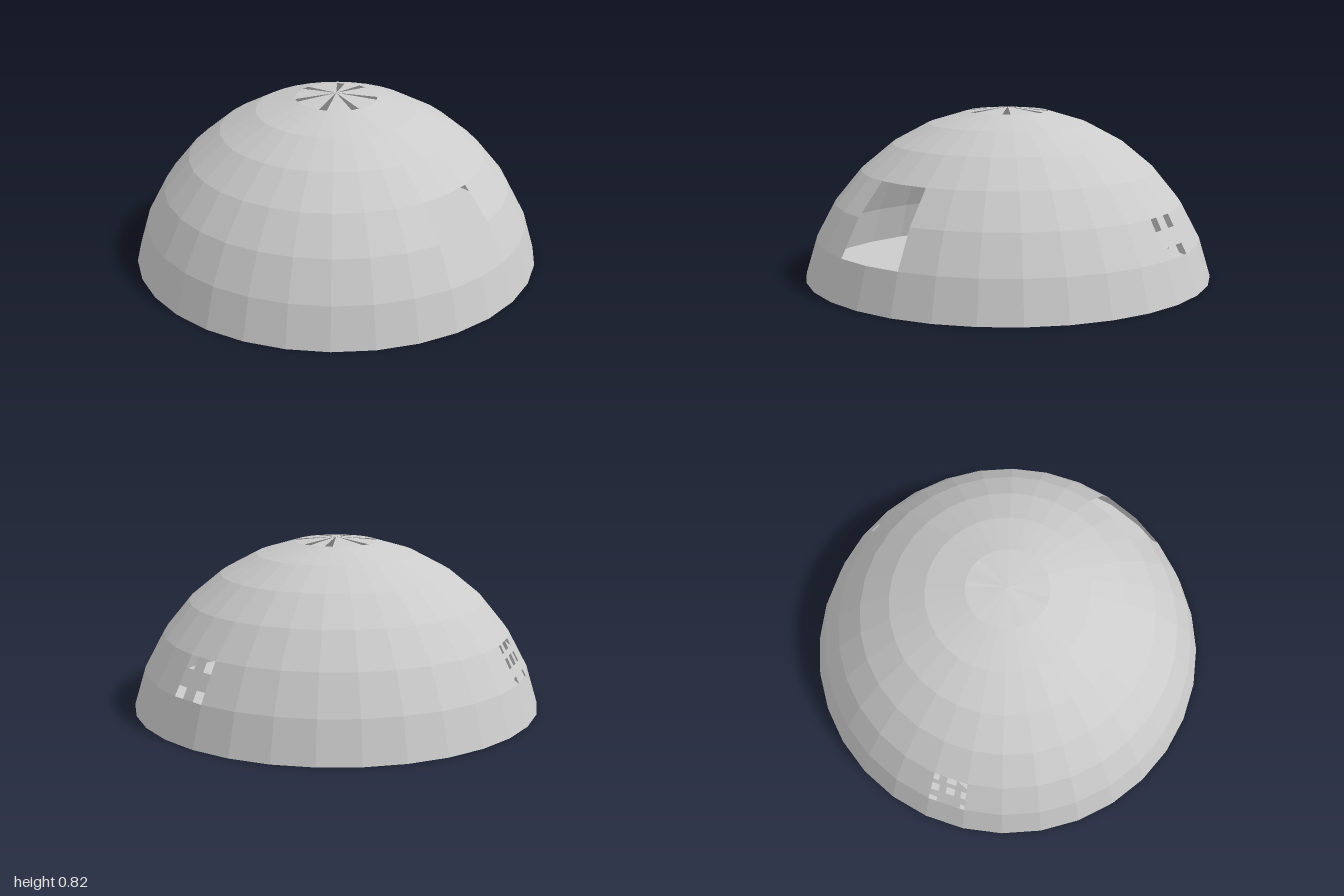
import * as THREE from 'three';

const R = 1.0196, SINK = 0.199, SEGMENTS = 32, RINGS = 7;
const STEP = Math.PI / 16;

// Corner of the faceted dome: ring counts down from the apex, col runs from +x towards +z
function corner(ring, col) {
  const r = R * Math.sin(ring * STEP);
  return new THREE.Vector3(r * Math.cos(col * STEP), R * Math.cos(ring * STEP) - SINK, r * Math.sin(col * STEP));
}

// Point inside one facet: t across (col to col + 1), s downwards (ring to ring + 1)
function onFacet(ring, col, t, s) {
  const top = corner(ring, col).lerp(corner(ring, col + 1), t);
  const bottom = corner(ring + 1, col).lerp(corner(ring + 1, col + 1), t);
  return top.lerp(bottom, s);
}

function addFace(points, a, b, c, d) {
  points.push(a, b, c);
  if (d) points.push(a, c, d);
}

// Facet divided along the edges of its openings [t0, t1, s0, s1], leaving those out
function addCutFacet(points, ring, col, holes) {
  const cuts = (i) => [...new Set([0, 1, ...holes.flatMap((h) => [h[i], h[i + 1]])])].sort((a, b) => a - b);
  const ts = cuts(0), ss = cuts(2);
  const P = (t, s) => onFacet(ring, col, t, s);
  for (let i = 0; i < ts.length - 1; i++) {
    for (let j = 0; j < ss.length - 1; j++) {
      const t = (ts[i] + ts[i + 1]) / 2, s = (ss[j] + ss[j + 1]) / 2;
      if (holes.some((h) => t > h[0] && t < h[1] && s > h[2] && s < h[3])) continue;
      addFace(points, P(ts[i], ss[j]), P(ts[i + 1], ss[j]), P(ts[i + 1], ss[j + 1]), P(ts[i], ss[j + 1]));
    }
  }
}

export function createModel() {
  const group = new THREE.Group();
  const material = new THREE.MeshStandardMaterial({ color: 0xcccccc, flatShading: true, side: THREE.DoubleSide });

  const addMesh = (name, geometry) => {
    const mesh = new THREE.Mesh(geometry, material);
    mesh.name = name;
    group.add(mesh);
    return mesh;
  };
  const addSurface = (name, points) => {
    const geometry = new THREE.BufferGeometry().setFromPoints(points);
    geometry.computeVertexNormals();
    addMesh(name, geometry);
  };

  const ventCols = [3, 8, 12, 17, 22, 27, 30];
  const windowRing = 5, sideCol = 30, rearCol = 20;
  const isDoor = (ring, col) => (ring === 4 || ring === 5) && (col === 6 || col === 7);
  const isWindow = (ring, col) => ring === windowRing && (col === sideCol || col === rearCol);

  // Roof cap with open vent slots
  const cap = [];
  for (let col = 0; col < SEGMENTS; col++) {
    if (!ventCols.includes(col)) addFace(cap, corner(0, 0), corner(1, col + 1), corner(1, col));
  }
  addSurface('ventedCap', cap);

  // Dome wall with the doorway left open
  const wall = [];
  for (let ring = 1; ring < RINGS; ring++) {
    for (let col = 0; col < SEGMENTS; col++) {
      if (isDoor(ring, col) || isWindow(ring, col)) continue;
      addFace(wall, corner(ring, col), corner(ring, col + 1), corner(ring + 1, col + 1), corner(ring + 1, col));
    }
  }
  addSurface('domeWall', wall);

  // Side window: four panes at the corners
  const side = [];
  addCutFacet(side, windowRing, sideCol, [
    [0, 0.31, 0, 0.31], [0.69, 1, 0, 0.31],
    [0, 0.31, 0.73, 1], [0.69, 1, 0.73, 1],
  ]);
  addSurface('sideWindowFrame', side);

  // Rear window: irregular panes, one of them triangular
  const rear = [];
  addCutFacet(rear, windowRing, rearCol, [
    [0.83, 1, 0, 0.2], [0.32, 0.6, 0, 0.2], [0, 0.3, 0, 0.2],
    [0.78, 1, 0.34, 0.6], [0.33, 0.57, 0.34, 0.6], [0, 0.15, 0.34, 0.6],
    [0.78, 1, 0.83, 1], [0, 0.13, 0.83, 1],
  ]);
  const Q = (t, s) => onFacet(windowRing, rearCol, t, s);
  addFace(rear, Q(0.3, 0), Q(0.3, 0.2), Q(0, 0.2));
  addSurface('rearWindowFrame', rear);

  // Floor disc closing the base
  addMesh('floor', new THREE.CircleGeometry(R * Math.sin(RINGS * STEP), SEGMENTS).rotateX(-Math.PI / 2));

  return group;
}
